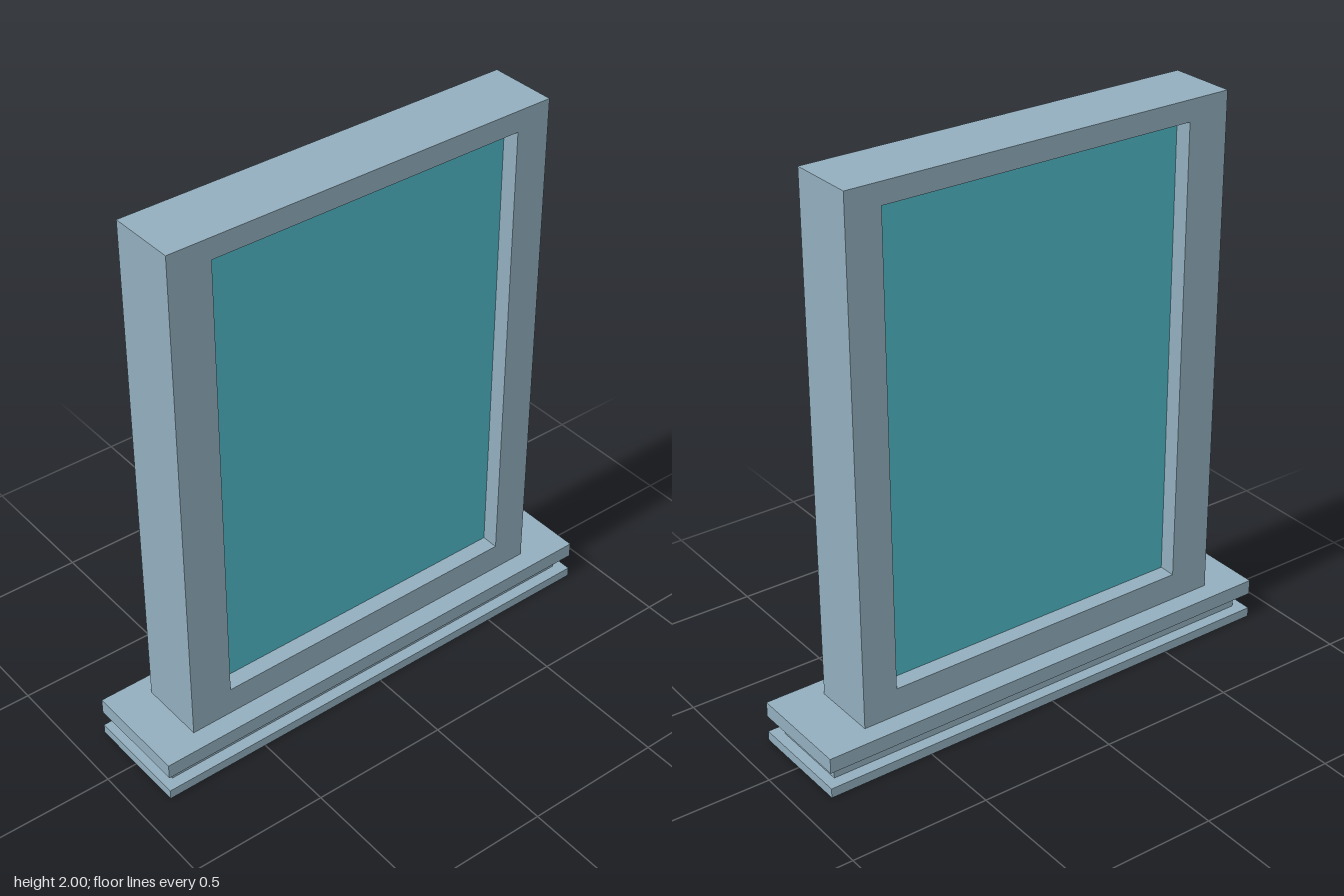
import * as THREE from 'three';

export function createModel() {
  const model = new THREE.Group();
  model.name = 'window';

  const frameMat = new THREE.MeshStandardMaterial({ color: 0x93afbe });
  frameMat.name = 'blue grey frame';
  const glassMat = new THREE.MeshStandardMaterial({ color: 0x50bbcb });
  glassMat.name = 'teal glass';

  const add = (name, geometry, material) => {
    const mesh = new THREE.Mesh(geometry, material);
    mesh.name = name;
    model.add(mesh);
    return mesh;
  };

  // Box given by its x range, y range and half depth
  const slab = (name, x0, x1, y0, y1, halfDepth, material) =>
    add(name, new THREE.BoxGeometry(x1 - x0, y1 - y0, halfDepth * 2), material)
      .position.set((x0 + x1) / 2, (y0 + y1) / 2, 0);

  // Stepped sill with a recessed middle course
  slab('sillBottom', -0.888, 0.888, 0, 0.035, 0.194, frameMat);
  slab('sillMiddle', -0.85, 0.85, 0.035, 0.095, 0.151, frameMat);
  slab('sillTop', -0.888, 0.888, 0.095, 0.15, 0.194, frameMat);

  // Frame with a rectangular opening
  const rectangle = (path, x0, x1, y0, y1) =>
    path.moveTo(x0, y0).lineTo(x1, y0).lineTo(x1, y1).lineTo(x0, y1).closePath();
  const outline = new THREE.Shape();
  rectangle(outline, -0.737, 0.71, 0.15, 2);
  const opening = new THREE.Path();
  rectangle(opening, -0.583, 0.583, 0.252, 1.925);
  outline.holes.push(opening);
  const frameGeometry = new THREE.ExtrudeGeometry(outline, { depth: 0.244, bevelEnabled: false });
  frameGeometry.translate(0, 0, -0.122);
  add('frame', frameGeometry, frameMat);

  // Glass set back from both faces of the frame
  slab('glass', -0.583, 0.583, 0.252, 1.925, 0.06, glassMat);

  // The whole window is turned very slightly
  model.rotation.y = 0.006;
  return model;
}
